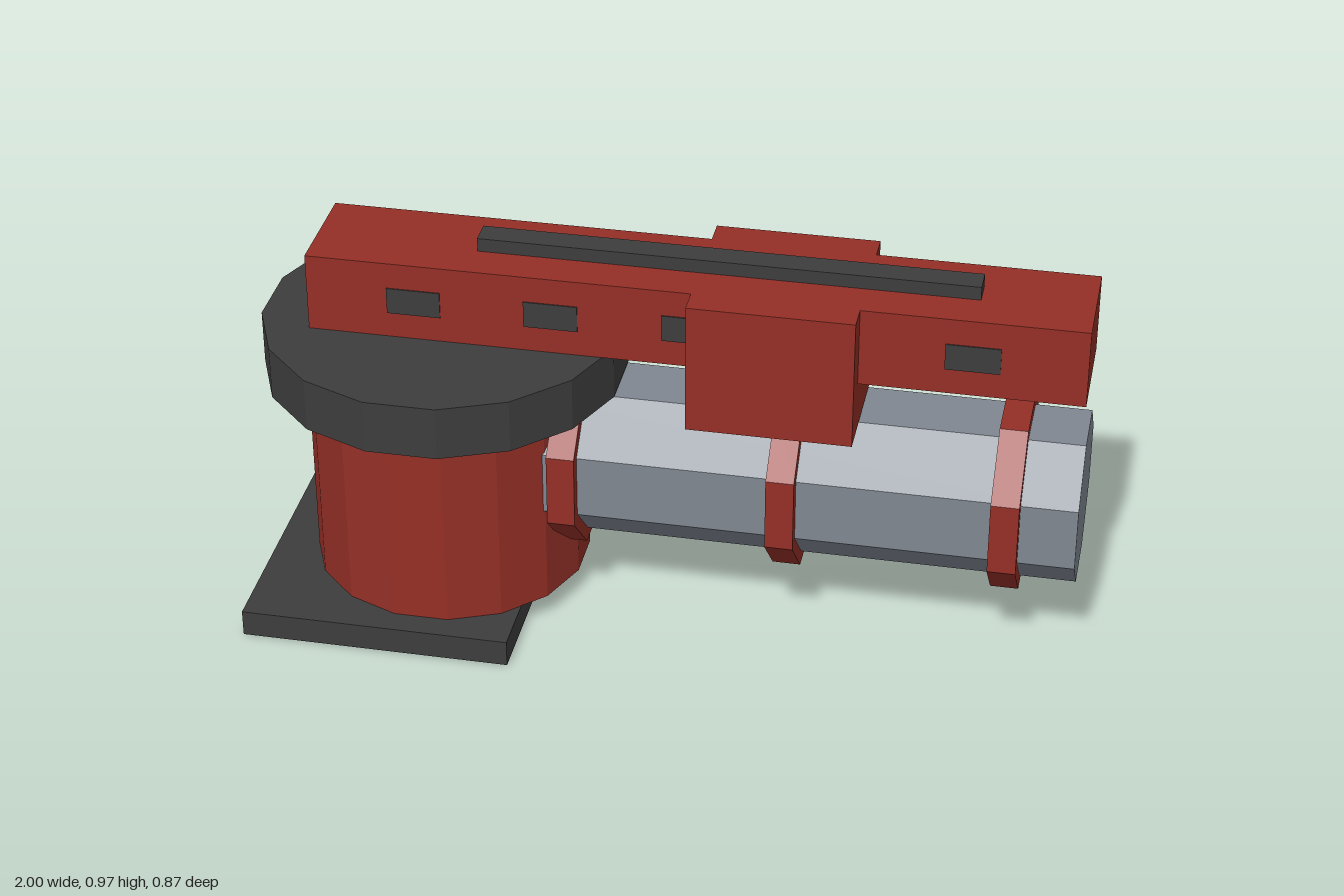
import * as THREE from 'three';

function material(name, color) {
  const m = new THREE.MeshStandardMaterial({ color, flatShading: true });
  m.name = name;
  return m;
}

export function createModel() {
  const model = new THREE.Group();
  model.name = 'turretMachine';
  const red = material('brick red', 0x942f26);
  const dark = material('charcoal', 0x3d3d3d);
  const steel = material('steel grey', 0x7f8791);

  const add = (name, geometry, mat) => {
    const mesh = new THREE.Mesh(geometry, mat);
    mesh.name = name;
    model.add(mesh);
    return mesh;
  };
  // Box given by its extents along each axis
  const box = (name, mat, [x0, x1], [y0, y1], [z0, z1]) =>
    add(name, new THREE.BoxGeometry(x1 - x0, y1 - y0, z1 - z0), mat)
      .position.set((x0 + x1) / 2, (y0 + y1) / 2, (z0 + z1) / 2);
  // Prism with flat faces on the axes; the radius is measured to the flats
  const prism = (flat, length, sides) => {
    const r = flat / Math.cos(Math.PI / sides);
    return new THREE.CylinderGeometry(r, r, length, sides).rotateY(Math.PI / sides);
  };
  const upright = (name, mat, flat, y0, y1) =>
    add(name, prism(flat, y1 - y0, 16), mat).position.set(-0.565, (y0 + y1) / 2, 0);
  const lying = (name, mat, flat, x0, x1) =>
    add(name, prism(flat, x1 - x0, 8).rotateZ(Math.PI / 2), mat)
      .position.set((x0 + x1) / 2, 0.402, 0);

  // Pedestal
  box('basePlate', dark, [-1, -0.335], [0, 0.067], [-0.4, 0.4]);
  upright('column', red, 0.335, 0.067, 0.602);
  upright('turntable', dark, 0.435, 0.6, 0.735);

  // Octagonal barrel with three clamping rings
  lying('barrel', steel, 0.194, -0.5, 1);
  for (const x of [-0.235, 0.297, 0.83]) lying('barrelRing', red, 0.225, x - 0.034, x + 0.034);

  // Upper beam, saddle block and top rail
  box('beam', red, [-0.867, 0.995], [0.735, 0.933], [-0.133, 0.133]);
  for (const s of [-1, 1]) {
    const z = [s * 0.133, s * 0.2].sort((a, b) => a - b);
    box('saddleSide', red, [0.065, 0.462], [0.602, 0.933], z);
  }
  box('saddleBottom', red, [0.065, 0.462], [0.602, 0.735], [-0.133, 0.133]);
  box('topRail', dark, [-0.47, 0.73], [0.933, 0.967], [-0.032, 0.032]);

  // Small windows along both sides of the beam
  for (const s of [-1, 1])
    for (const x of [-0.605, -0.272, 0.06, 0.728])
      box('window', dark, [x - 0.065, x + 0.065], [0.8, 0.867], [s * 0.133 - 0.003, s * 0.133 + 0.003]);

  return model;
}
